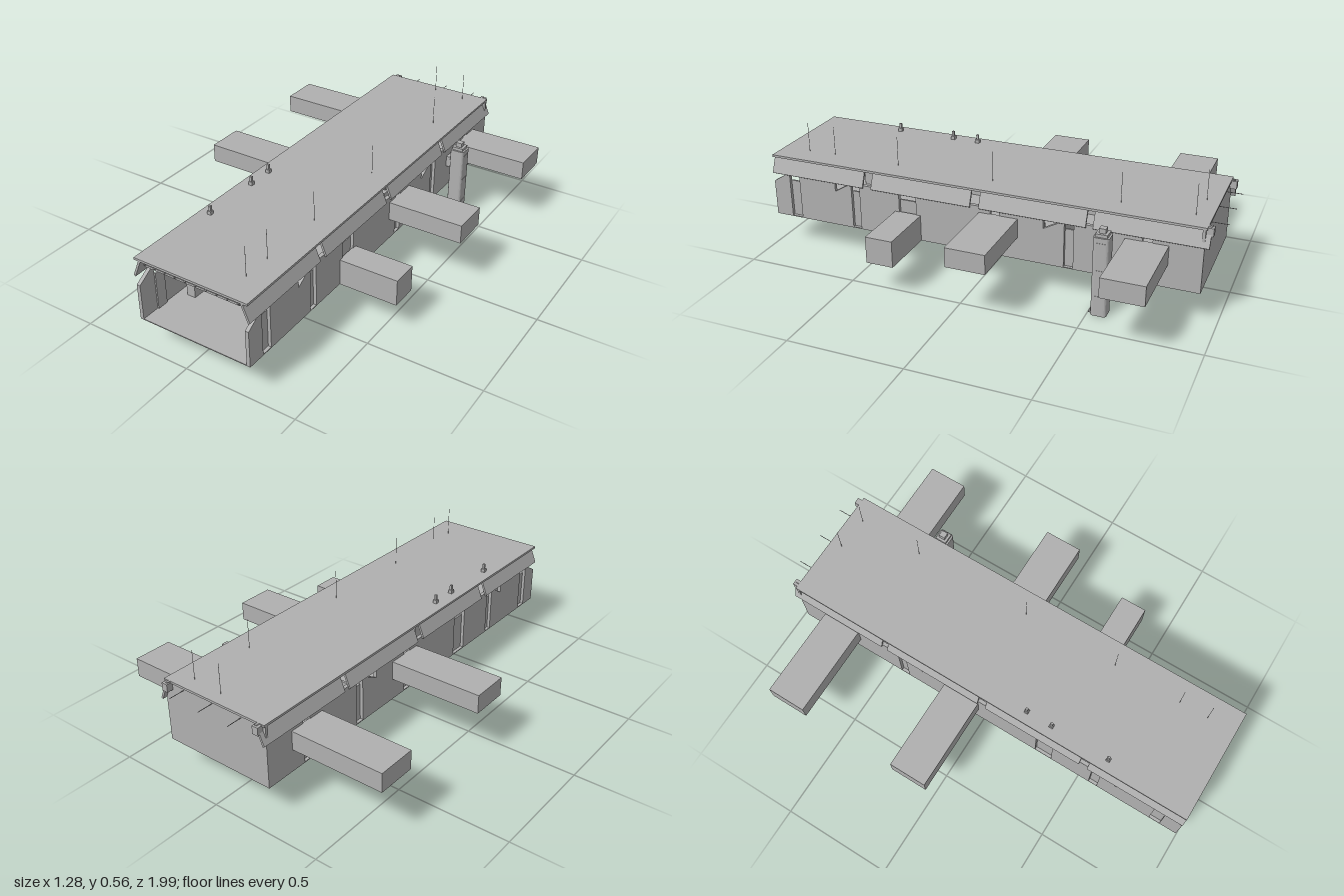
import * as THREE from 'three';

const CX = 0.04;      // centre line of the hall
const HALF = 0.261;   // half width of the hall
const FLOOR = 0.14;

export function createModel() {
  const model = new THREE.Group();
  model.name = 'dockHall';
  const grey = new THREE.MeshStandardMaterial({ color: 0xb0b0b0, side: THREE.DoubleSide });
  grey.name = 'hull grey';

  function add(geometry, name) {
    const mesh = new THREE.Mesh(geometry, grey);
    mesh.name = name;
    model.add(mesh);
    return mesh;
  }
  // Box given by its limits on each axis
  function box(name, x0, x1, y0, y1, z0, z1) {
    const m = add(new THREE.BoxGeometry(x1 - x0, y1 - y0, z1 - z0), name);
    m.position.set((x0 + x1) / 2, (y0 + y1) / 2, (z0 + z1) / 2);
    return m;
  }
  function rod(name, r, a, b) {
    const p = new THREE.Vector3(...a), q = new THREE.Vector3(...b);
    const m = add(new THREE.CylinderGeometry(r, r, p.distanceTo(q), 5), name);
    m.position.copy(p).add(q).multiplyScalar(0.5);
    m.quaternion.setFromUnitVectors(new THREE.Vector3(0, 1, 0), q.sub(p).normalize());
    return m;
  }
  const shapeOf = (pts) => new THREE.Shape(pts.map(([x, y]) => new THREE.Vector2(x, y)));
  const extrude = (shape, depth) =>
    new THREE.ExtrudeGeometry(shape, { depth, bevelEnabled: false, curveSegments: 4 });

  // Floor, roof and closed back end; the front stays open
  box('floor', CX - HALF, CX + HALF, FLOOR, FLOOR + 0.004, -0.93, 0.99);
  box('roof', CX - HALF, CX + HALF, 0.414, 0.424, -0.935, 0.99);
  box('backWall', CX - HALF, CX + HALF, FLOOR, 0.42, -0.93, -0.918);

  // Side walls: panels between recessed pillars, some with a sloped notch
  const panels = [ // front z, back z, z where the notch starts (or null)
    [0.99, 0.91, 0.99], [0.86, 0.60, 0.68], [0.56, 0.37, null], [0.29, -0.05, null],
    [-0.09, -0.37, -0.28], [-0.41, -0.69, null], [-0.73, -0.918, null],
  ];
  const pillars = [[0.86, 0.91], [0.56, 0.60], [0.29, 0.37], [-0.09, -0.05], [-0.41, -0.37], [-0.73, -0.69]];
  for (const s of [-1, 1]) {
    const outer = CX + s * HALF;
    for (const [z0, z1, notch] of panels) {
      const pts = [[-z0, FLOOR], [-z1, FLOOR], [-z1, 0.35]];
      if (notch !== null) pts.push([-notch, 0.30]);
      if (notch !== z0) {
        if (notch !== null) pts.push([-notch, 0.35]);
        pts.push([-z0, 0.35]);
      }
      const wall = add(extrude(shapeOf(pts), 0.016), 'wallPanel');
      wall.rotation.y = Math.PI / 2;
      wall.position.x = s > 0 ? outer - 0.016 : outer;
    }
    for (const [z0, z1] of pillars) {
      const inner = outer - s * 0.022;
      box('pillar', Math.min(inner, inner + s * 0.008), Math.max(inner, inner + s * 0.008), FLOOR, 0.31, z0, z1);
      box('pillarCap', Math.min(inner, outer), Math.max(inner, outer), 0.34, 0.348, z0, z1);
    }
    // Sloping eaves in four lengths with gaps between
    for (const [z0, z1] of [[0.54, 0.99], [0.04, 0.50], [-0.46, 0.0], [-0.95, -0.49]]) {
      const profile = [[0.226, 0.424], [0.236, 0.424], [0.27, 0.342], [0.262, 0.337]];
      const eave = add(extrude(shapeOf(profile.map(([x, y]) => [CX + s * x, y])), z1 - z0), 'eave');
      eave.position.z = z0;
    }
    box('roofHook', CX + s * 0.235 - 0.014, CX + s * 0.235 + 0.014, 0.385, 0.42, -0.958, -0.93);
  }

  // Corridors reaching out of the sides
  for (const [z0, z1] of [[-0.795, -0.62], [-0.17, 0.0]]) {
    box('leftCorridor', CX + HALF - 0.005, 0.637, 0.238, 0.322, z0, z1);
    box('rightCorridor', -0.64, CX - HALF + 0.005, 0.238, 0.322, z0, z1);
  }
  box('lowCorridor', CX + HALF - 0.005, 0.562, FLOOR, 0.257, 0.27, 0.39);

  // Two standing lift towers, one through the floor and one beside the hall
  const w = 0.033, c = 0.014;
  const plan = new THREE.Shape();
  plan.moveTo(-w + c, -w);
  plan.lineTo(w - c, -w);
  plan.quadraticCurveTo(w, -w, w, -w + c);
  plan.lineTo(w, w - c);
  plan.quadraticCurveTo(w, w, w - c, w);
  plan.lineTo(-w + c, w);
  plan.quadraticCurveTo(-w, w, -w, w - c);
  plan.lineTo(-w, -w + c);
  plan.quadraticCurveTo(-w, -w, -w + c, -w);
  for (const x of [0.033, 0.354]) {
    const z = -0.547;
    const body = add(extrude(plan, 0.347), 'liftTower');
    body.rotation.x = -Math.PI / 2;
    body.position.set(x, 0, z);
    box('towerCap', x - 0.025, x + 0.025, 0.347, 0.36, z - 0.025, z + 0.025);
    box('towerHead', x - 0.014, x + 0.014, 0.36, 0.38, z - 0.014, z + 0.014);
    box('towerDoor', x - 0.015, x + 0.015, 0.005, 0.05, z + 0.032, z + 0.036);
    box('towerStep', x - 0.015, x + 0.015, 0, 0.005, z + 0.03, z + 0.045);
    for (const y of [0.085, 0.2, 0.32]) {
      box('towerBand', x - 0.0345, x + 0.0345, y, y + 0.005, z - 0.02, z + 0.02);
    }
  }
  box('towerBracket', 0.298, 0.325, 0.25, 0.3, -0.57, -0.525);

  // Front roof beam with small ribs
  box('frontBeam', CX - 0.22, CX + 0.22, 0.393, 0.402, 0.965, 0.98);
  for (let i = 0; i < 10; i++) {
    const x = CX - 0.216 + i * 0.048;
    box('beamRib', x - 0.003, x + 0.003, 0.4, 0.415, 0.965, 0.985);
  }

  // Lamps on the roof
  for (const z of [0.6, 0.33, 0.21]) {
    box('lampBase', -0.18, -0.162, 0.424, 0.44, z - 0.009, z + 0.009);
    box('lamp', -0.176, -0.166, 0.44, 0.462, z - 0.005, z + 0.005);
  }

  // Thin aerials on the roof and rods at the back
  for (const [x, z] of [[0.2, 0.86], [0.2, 0.73], [0.2, 0.42], [0.2, -0.02], [0.2, -0.57], [0.05, -0.88], [0.2, -0.87]]) {
    rod('aerial', 0.001, [x, 0.424, z], [x, 0.555, z]);
  }
  for (const x of [-0.1, 0.05, 0.2]) rod('backRod', 0.0015, [x, 0.405, -0.93], [x, 0.405, -1]);

  // Lattice mast inside, by the right wall
  for (const dx of [-0.01, 0.01]) rod('mastRail', 0.002, [-0.171 + dx, FLOOR, 0.33], [-0.171 + dx, 0.414, 0.33]);
  for (let i = 0; i < 12; i++) {
    const y = 0.15 + i * 0.022, d = i % 2 ? 0.01 : -0.01;
    rod('mastBrace', 0.0015, [-0.171 - d, y, 0.33], [-0.171 + d, y + 0.022, 0.33]);
  }

  // Equipment inside: low bulkhead, lockers, hoist column and tank
  box('bulkhead', -0.12, 0.29, FLOOR, 0.236, -0.31, -0.3);
  box('locker', 0.02, 0.06, FLOOR, 0.225, -0.3, -0.26);
  for (const z of [0.1, 0.75]) box('rack', -0.165, -0.125, FLOOR, 0.37, z - 0.03, z + 0.03);
  for (const x of [0.145, 0.165]) rod('hoistColumn', 0.004, [x, 0.24, -0.2], [x, 0.414, -0.2]);
  box('hoist', 0.13, 0.18, 0.19, 0.24, -0.23, -0.17);
  rod('hoistPost', 0.008, [0.155, FLOOR, -0.2], [0.155, 0.19, -0.2]);
  rod('tank', 0.02, [0.252, FLOOR, 0.1], [0.252, 0.3, 0.1]);

  return model;
}
